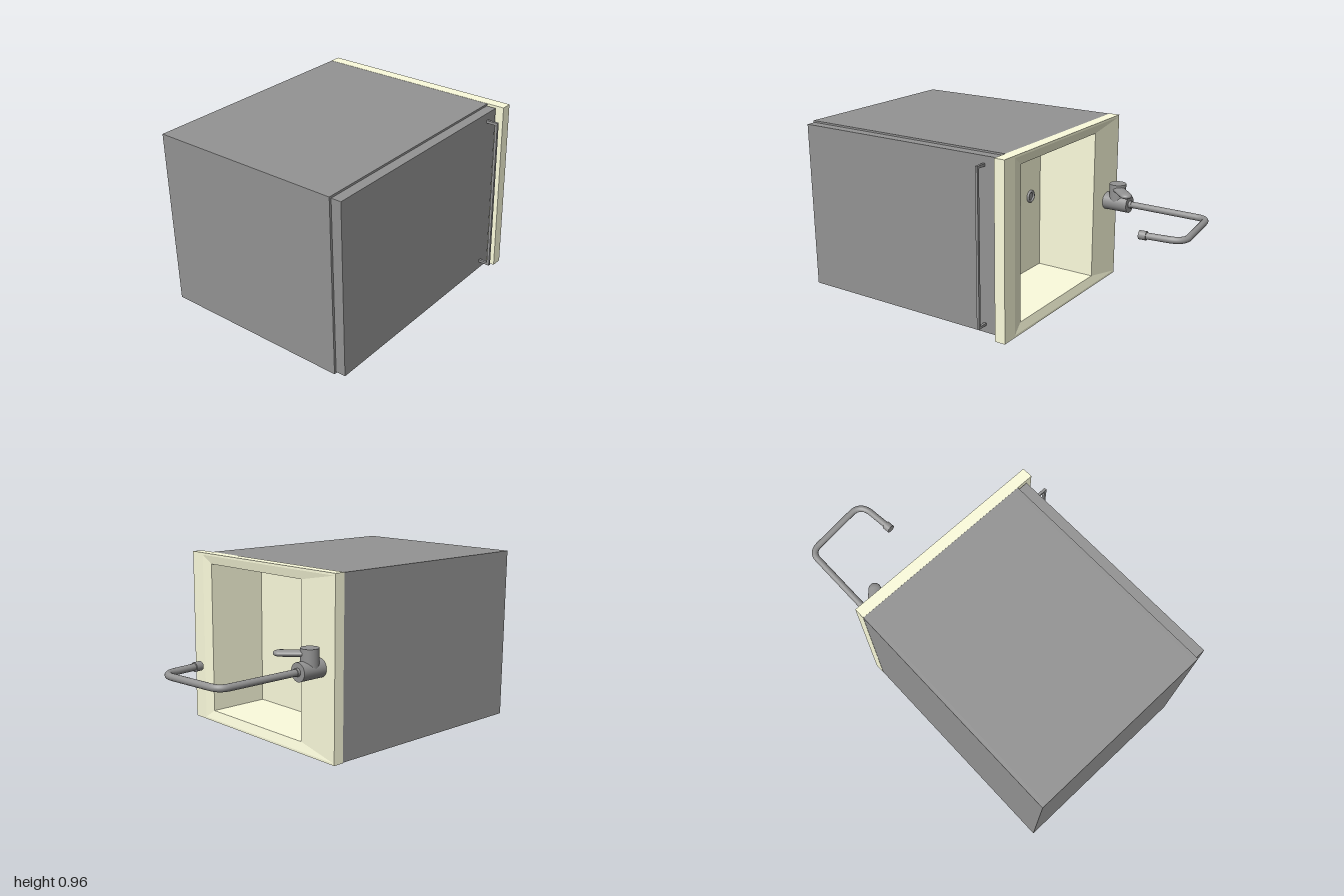
import * as THREE from 'three';

const grey = new THREE.MeshStandardMaterial({ color: 0x939393 });
const cream = new THREE.MeshStandardMaterial({ color: 0xfdfddd, side: THREE.DoubleSide });

function add(group, name, geometry, material = grey) {
  const mesh = new THREE.Mesh(geometry, material);
  mesh.name = name;
  group.add(mesh);
  return mesh;
}

// Box given by its limits on each axis
function box(x0, x1, y0, y1, z0, z1) {
  return new THREE.BoxGeometry(x1 - x0, y1 - y0, z1 - z0)
    .translate((x0 + x1) / 2, (y0 + y1) / 2, (z0 + z1) / 2);
}

// Skin through rectangular loops [x0, x1, y0, y1, z], closed at the last one
function rectSkin(loops) {
  const corners = loops.map(([x0, x1, y0, y1, z]) => [[x0, y0, z], [x1, y0, z], [x1, y1, z], [x0, y1, z]]);
  const pos = [];
  const quad = (a, b, c, d) => pos.push(...a, ...b, ...c, ...a, ...c, ...d);
  for (let i = 0; i + 1 < corners.length; i++) {
    for (let k = 0; k < 4; k++) {
      const n = (k + 1) % 4;
      quad(corners[i][k], corners[i + 1][k], corners[i + 1][n], corners[i][n]);
    }
  }
  const [a, b, c, d] = corners[corners.length - 1];
  quad(a, d, c, b);
  const g = new THREE.BufferGeometry();
  g.setAttribute('position', new THREE.Float32BufferAttribute(pos, 3));
  g.computeVertexNormals();
  return g;
}

// Cylinder between two points
function rod(a, b, r, sides = 32) {
  const from = new THREE.Vector3(...a), dir = new THREE.Vector3(...b).sub(from);
  const g = new THREE.CylinderGeometry(r, r, dir.length(), sides);
  g.translate(0, dir.length() / 2, 0);
  g.applyQuaternion(new THREE.Quaternion().setFromUnitVectors(new THREE.Vector3(0, 1, 0), dir.normalize()));
  return g.translate(from.x, from.y, from.z);
}

export function createModel() {
  const model = new THREE.Group();
  model.name = 'sinkCabinet';

  // Cabinet panels, open behind the worktop
  const cabinet = new THREE.Group();
  cabinet.name = 'cabinet';
  model.add(cabinet);
  const t = 0.02, L = -0.59, R = 0.469, B = 0.003, T = 0.957, N = -0.278, F = 1;
  add(cabinet, 'backPanel', box(L, L + t, B, T, N, F));
  add(cabinet, 'innerFrontPanel', box(R - t, R, B, T, N, F));
  add(cabinet, 'lowerSidePanel', box(L + t, R - t, B, B + t, N, F));
  add(cabinet, 'upperSidePanel', box(L + t, R - t, T - t, T, N, F));
  add(cabinet, 'basePanel', box(L + t, R - t, B + t, T - t, F - t, F));

  // Door with bar handle
  add(model, 'door', box(0.471, 0.525, 0.012, 0.948, -0.27, 0.99));
  const handle = new THREE.Group();
  handle.name = 'doorHandle';
  model.add(handle);
  add(handle, 'handleBar', box(0.576, 0.59, 0.052, 0.91, -0.197, -0.183));
  for (const y of [0.059, 0.903]) {
    add(handle, 'handlePost', box(0.524, 0.577, y - 0.007, y + 0.007, -0.197, -0.183));
  }

  // Worktop with raised rim, sloping deck and basin
  const hole = [-0.335, 0.41, 0.06, 0.9];
  add(model, 'worktopAndBasin', rectSkin([
    [...hole, -0.278],
    [-0.591, 0.567, 0, 0.958, -0.278],
    [-0.591, 0.567, 0, 0.958, -0.338],
    [-0.582, 0.475, 0.012, 0.946, -0.338],
    [...hole, -0.328],
    [...hole, 0.025],
  ]), cream);

  // Drain ring and plug hole
  const drain = new THREE.Group();
  drain.name = 'drain';
  drain.position.set(-0.23, 0.506, 0.022);
  model.add(drain);
  add(drain, 'drainRing', new THREE.TorusGeometry(0.029, 0.008, 12, 32));
  add(drain, 'drainPlate', new THREE.CircleGeometry(0.029, 32).rotateY(Math.PI));

  // Tap body and swivel spout
  const tap = new THREE.Group();
  tap.name = 'tap';
  model.add(tap);
  const y = 0.48, x = -0.482;
  add(tap, 'tapBody', rod([x, y, -0.325], [x, y, -0.48], 0.049));
  add(tap, 'spoutCollar', rod([x, y, -0.475], [x, y, -0.495], 0.021));
  const p = (px, pz) => new THREE.Vector3(px, y, pz);
  const path = new THREE.CurvePath();
  path.add(new THREE.LineCurve3(p(x, -0.47), p(x, -0.89)));
  path.add(new THREE.QuadraticBezierCurve3(p(x, -0.89), p(x, -0.945), p(-0.425, -0.953)));
  path.add(new THREE.LineCurve3(p(-0.425, -0.953), p(-0.15, -0.982)));
  path.add(new THREE.QuadraticBezierCurve3(p(-0.15, -0.982), p(-0.086, -0.982), p(-0.076, -0.91)));
  path.add(new THREE.LineCurve3(p(-0.076, -0.91), p(-0.06, -0.76)));
  add(tap, 'spout', new THREE.TubeGeometry(path, 96, 0.018, 16));
  add(tap, 'spoutNozzle', rod([-0.064, y, -0.79], [-0.06, y, -0.75], 0.024));

  // Mixer cap and flattened lever
  add(tap, 'mixerCap', rod([x, y, -0.402], [x, 0.59, -0.402], 0.047));
  const lever = add(tap, 'lever', new THREE.CapsuleGeometry(0.034, 0.125, 8, 24).scale(1, 1, 0.5));
  lever.geometry.rotateX(-Math.PI / 2);
  lever.rotation.y = -Math.PI * 0.24;
  lever.position.set(-0.422, 0.562, -0.46);
  return model;
}
